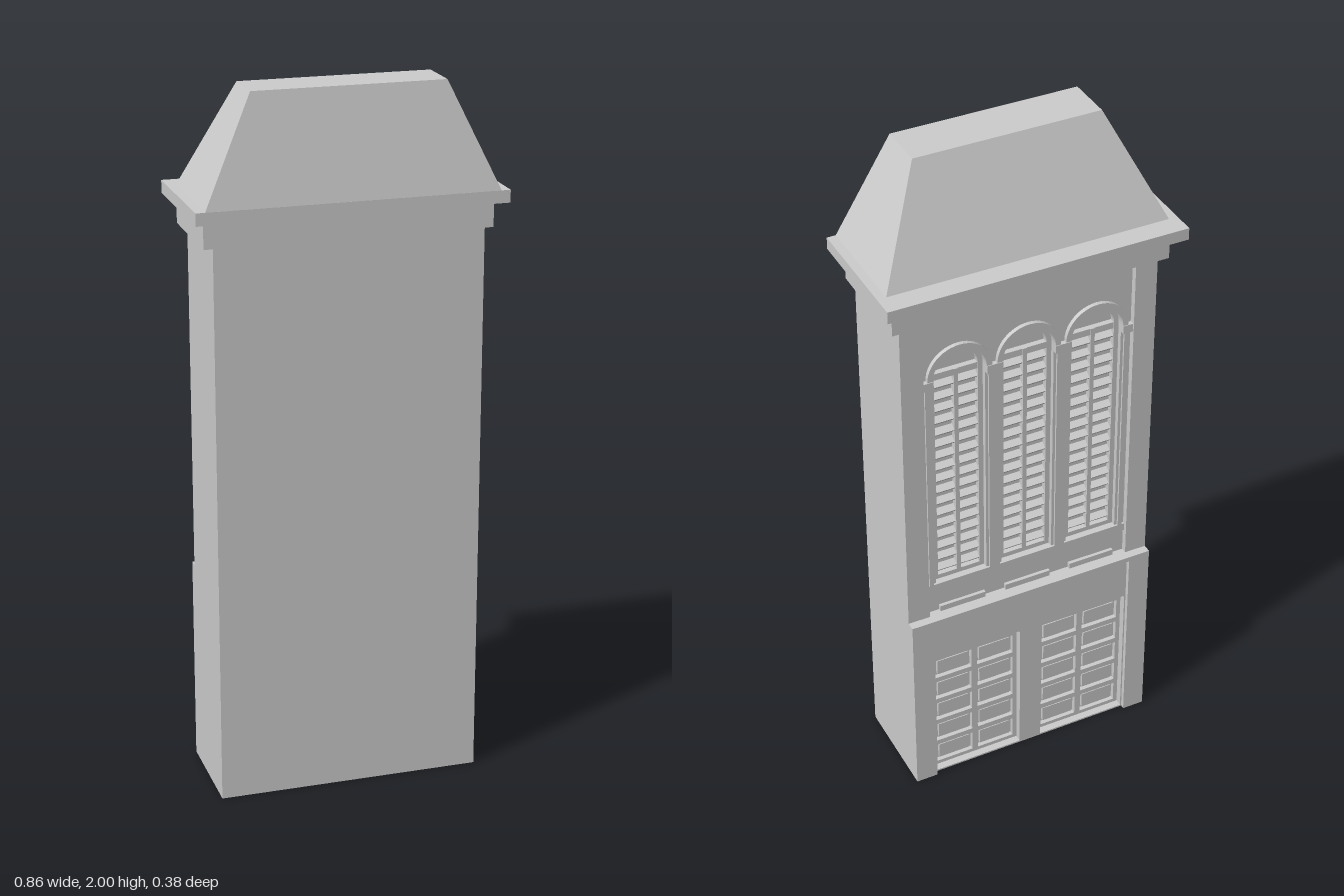
import * as THREE from 'three';

const material = new THREE.MeshStandardMaterial({ color: 0xcccccc, flatShading: true });

export function createModel() {
  const model = new THREE.Group();
  model.name = 'building';

  const add = (name, geometry, parent = model) => {
    const mesh = new THREE.Mesh(geometry, material);
    mesh.name = name;
    parent.add(mesh);
    return mesh;
  };
  // Box given by its limits on each axis
  const box = (name, x0, x1, y0, y1, z0, z1, parent) => {
    const g = new THREE.BoxGeometry(x1 - x0, y1 - y0, z1 - z0);
    g.translate((x0 + x1) / 2, (y0 + y1) / 2, (z0 + z1) / 2);
    return add(name, g, parent);
  };
  // Flat shape extruded between two depths
  const slab = (name, shape, z0, z1, parent) => {
    const g = new THREE.ExtrudeGeometry(shape, { depth: z1 - z0, bevelEnabled: false, curveSegments: 12 });
    g.translate(0, 0, z0);
    return add(name, g, parent);
  };
  const rect = (x0, x1, y0, y1) => new THREE.Shape([
    new THREE.Vector2(x0, y0), new THREE.Vector2(x1, y0),
    new THREE.Vector2(x1, y1), new THREE.Vector2(x0, y1)]);
  // Opening with a circular head rising above the springing line
  const arched = (cx, half, y0, spring, rise) => {
    const r = (half * half + rise * rise) / (2 * rise);
    const a = Math.asin(Math.min(1, half / r));
    const p = new THREE.Path();
    p.moveTo(cx - half, y0);
    p.lineTo(cx + half, y0);
    p.lineTo(cx + half, spring);
    p.absarc(cx, spring + rise - r, r, Math.PI / 2 - a, Math.PI / 2 + a, false);
    p.lineTo(cx - half, y0);
    return p;
  };

  // Main mass
  box('lowerBody', -0.375, 0.375, 0, 0.6, -0.08, 0.147);
  box('upperBody', -0.375, 0.375, 0.6, 1.6, -0.08, 0.147);
  for (const s of [-1, 1]) {
    const [a, b] = s < 0 ? [-0.375, -0.31] : [0.31, 0.375];
    box('lowerCornerPier', a, b, 0, 0.6, -0.155, -0.08);
    box('upperCornerPier', a, b, 0.6, 1.6, -0.13, -0.08);
  }

  // Cornice and roof
  box('lowerCornice', -0.4, 0.4, 1.595, 1.67, -0.145, 0.147);
  box('upperCornice', -0.43, 0.43, 1.67, 1.705, -0.19, 0.19);
  const roof = new THREE.BoxGeometry(1, 1, 1).toNonIndexed();
  const pos = roof.attributes.position;
  for (let i = 0; i < pos.count; i++) {
    const top = pos.getY(i) > 0;
    const back = pos.getZ(i) < 0;
    pos.setXYZ(i, Math.sign(pos.getX(i)) * (top ? 0.267 : 0.405), top ? 2 : 1.704,
      top ? (back ? 0 : 0.135) : (back ? -0.128 : 0.19));
  }
  roof.computeVertexNormals();
  add('roof', roof);

  // Upper wall with three arched openings
  const half = 0.078, spring = 1.4, sill = 0.7;
  const centres = [-0.203, 0, 0.203];
  const upper = rect(-0.31, 0.31, 0.6, 1.6);
  centres.forEach(c => upper.holes.push(arched(c, half, sill, spring, half)));
  slab('windowWall', upper, -0.112, -0.08);
  box('sillBand', -0.31, 0.31, 0.675, 0.7, -0.118, -0.11);

  for (const c of centres) {
    const win = new THREE.Group();
    win.name = 'louvredWindow';
    model.add(win);

    // Moulded arch
    const ring = new THREE.Shape();
    ring.absarc(c, spring, half + 0.016, 0, Math.PI, false);
    ring.absarc(c, spring, half, Math.PI, 0, true);
    slab('archMoulding', ring, -0.124, -0.11, win);

    // Inner frame
    const frame = new THREE.Shape(arched(c, half, sill, spring, half).getPoints(12));
    frame.holes.push(arched(c, half - 0.014, sill + 0.014, spring, half - 0.014));
    slab('windowFrame', frame, -0.098, -0.08, win);
    box('transom', c - half, c + half, spring - 0.02, spring, -0.096, -0.08, win);
    box('mullion', c - 0.006, c + 0.006, sill, spring, -0.098, -0.08, win);

    // Slanted louvre slats
    const rows = 17, step = (spring - sill - 0.034) / rows;
    for (let i = 0; i < rows; i++) {
      const slat = add('louvre', new THREE.BoxGeometry(2 * half - 0.02, 0.008, 0.026), win);
      slat.position.set(c, sill + 0.014 + (i + 0.5) * step, -0.084);
      slat.rotation.x = -0.6;
    }
    box('sillBlock', c - 0.07, c + 0.07, 0.6, 0.618, -0.122, -0.11, win);
  }

  // Imposts on the piers beside the windows
  for (const [a, b] of [[-0.31, -0.281], [-0.125, -0.078], [0.078, 0.125], [0.281, 0.31]]) {
    box('impost', a, b, spring - 0.025, spring, -0.126, -0.11);
    box('pierStrip', a + 0.008, b - 0.008, 0.7, spring - 0.025, -0.118, -0.11);
  }

  // Lower wall with two segmental door openings
  const lower = rect(-0.31, 0.31, 0, 0.6);
  for (const c of [-0.17, 0.17]) lower.holes.push(arched(c, 0.136, 0.005, 0.44, 0.055));
  slab('doorWall', lower, -0.142, -0.08);
  box('ledge', -0.31, 0.31, 0.585, 0.6, -0.155, -0.14);

  for (const c of [-0.17, 0.17]) {
    const door = new THREE.Group();
    door.name = 'panelledDoor';
    model.add(door);
    const arch = new THREE.Shape(arched(c, 0.136, 0.43, 0.44, 0.055).getPoints(12));
    slab('doorHead', arch, -0.128, -0.08, door);

    // Door leaf: grid of two by five panels in a raised frame
    const leaf = rect(c - 0.136, c + 0.136, 0.005, 0.43);
    for (let row = 0; row < 5; row++) {
      for (const s of [-1, 1]) {
        const x = c + s * 0.066, y = 0.05 + row * 0.083;
        leaf.holes.push(rect(x - 0.057, x + 0.057, y - 0.033, y + 0.033));
        box('doorPanel', x - 0.048, x + 0.048, y - 0.025, y + 0.025, -0.115, -0.08, door);
      }
    }
    slab('doorFrame', leaf, -0.12, -0.08, door);
    box('doorBacking', c - 0.136, c + 0.136, 0.005, 0.43, -0.106, -0.08, door);
  }
  return model;
}
